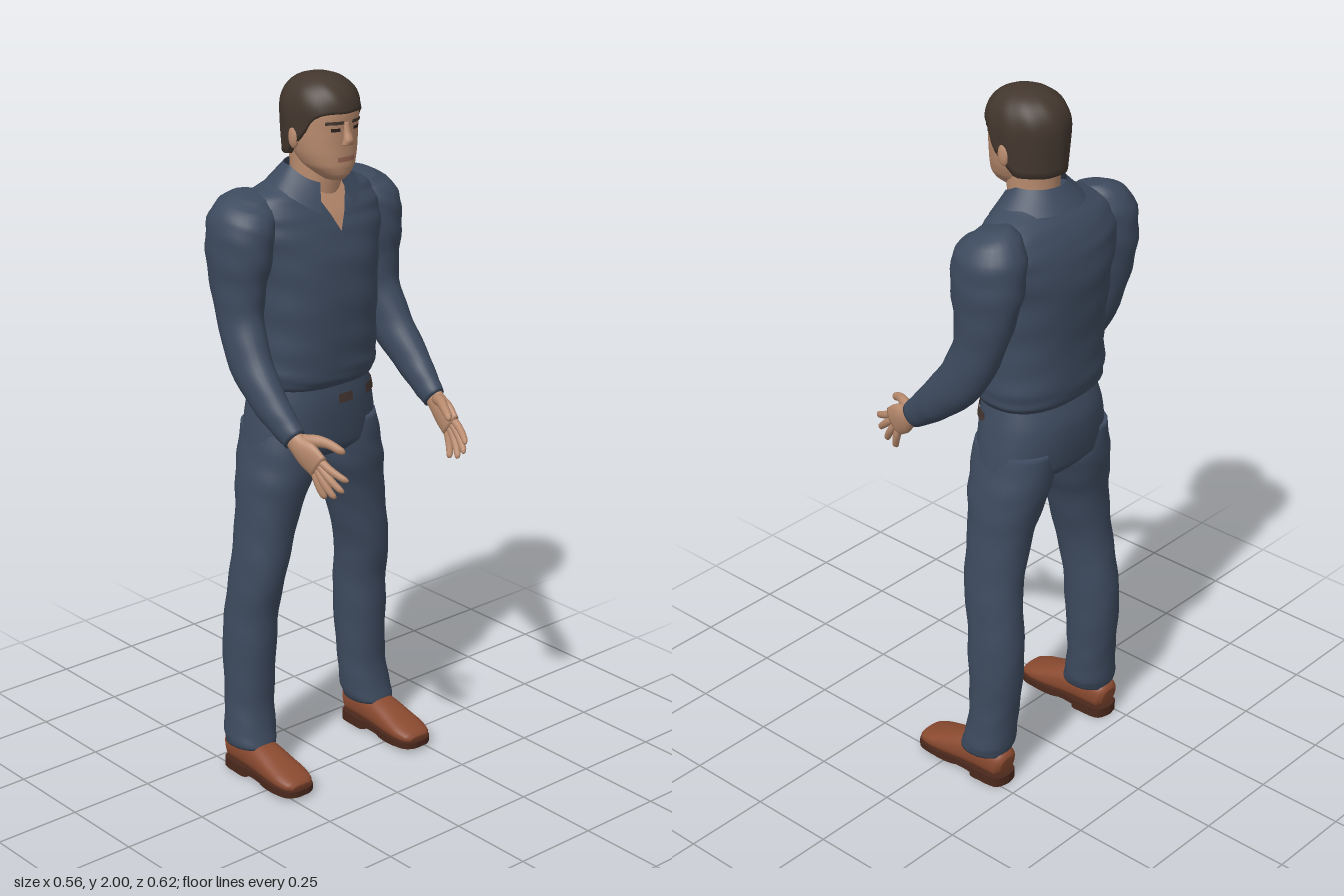
import * as THREE from 'three';
import { mergeVertices } from 'three/addons/utils/BufferGeometryUtils.js';

const mat = (name, color, side = THREE.FrontSide) => {
  const m = new THREE.MeshStandardMaterial({ color, side });
  m.name = name;
  return m;
};

// Smooth surface from a rule fn(u, v) -> [x, y, z], u and v in 0..1
function grid(nu, nv, fn) {
  const pos = [], idx = [];
  for (let j = 0; j <= nv; j++)
    for (let i = 0; i <= nu; i++) pos.push(...fn(i / nu, j / nv));
  for (let j = 0; j < nv; j++)
    for (let i = 0; i < nu; i++) {
      const a = j * (nu + 1) + i, c = a + nu + 1;
      idx.push(a, a + 1, c, a + 1, c + 1, c);
    }
  let g = new THREE.BufferGeometry();
  g.setAttribute('position', new THREE.Float32BufferAttribute(pos, 3));
  g.setIndex(idx);
  g = mergeVertices(g, 1e-5);
  g.computeVertexNormals();
  return g;
}

const spow = (v, e) => Math.sign(v) * Math.pow(Math.abs(v), e);

// Closed loft through rows [x, y, z, a, b]; a lies in the xy plane, b along z
function sweep(rows, { s = 1, n = 2, flat = false, sides = 28, sub = 5, fold = 0 } = {}) {
  const mid = new THREE.CatmullRomCurve3(rows.map(r => new THREE.Vector3(r[0], r[1], r[2] * s)));
  const rad = new THREE.CatmullRomCurve3(rows.map(r => new THREE.Vector3(r[3], r[4], 0)));
  const steps = (rows.length - 1) * sub;
  return grid(sides, steps + 2, (u, v) => {
    const k = Math.round(v * (steps + 2)) - 1;
    const cap = k < 0 || k > steps;
    const t = Math.min(1, Math.max(0, k / steps));
    const c = mid.getPoint(t), r = rad.getPoint(t), th = u * Math.PI * 2;
    const T = flat ? new THREE.Vector3(0, -1, 0) : mid.getTangent(t).setZ(0).normalize();
    const wave = 1 + fold * Math.sin(t * 55 + 2.5 * Math.sin(th)) * Math.cos(th * 2 + 1);
    const a = cap ? 0 : r.x * wave * spow(Math.cos(th), 2 / n);
    const b = cap ? 0 : r.y * wave * spow(Math.sin(th), 2 / n);
    return [c.x - T.y * a, c.y + T.x * a, c.z + b];
  });
}

// Upright rows [y, back, front, half width, centre z] -> sweep rows, listed top down
const column = rows => rows.map(([y, xb, xf, w, z = 0]) => [(xb + xf) / 2, y, z, (xf - xb) / 2, w]);

// Thin plate lying on the front of an upright loft
function plate(rows, n, y0, y1, zA, zB, off) {
  const front = (y, z) => {
    let i = 0;
    while (i < rows.length - 2 && rows[i + 1][1] > y) i++;
    const p = rows[i], q = rows[i + 1], t = (p[1] - y) / (p[1] - q[1]);
    const [x, , , a, b] = p.map((v, k) => v + (q[k] - v) * t);
    return x + off + a * Math.pow(1 - Math.pow(Math.min(0.98, Math.abs(z) / b), n), 1 / n);
  };
  return grid(10, 8, (u, v) => {
    const y = y1 + (y0 - y1) * v, z = zA(y) + (zB(y) - zA(y)) * u;
    return [front(y, z), y, z];
  });
}

export function createModel() {
  const model = new THREE.Group();
  const navy = mat('navy cloth', 0x3d4a5e);
  const collarCloth = mat('collar cloth', 0x3d4a5e, THREE.DoubleSide);
  const skin = mat('skin', 0xb98b6e, THREE.DoubleSide);
  const hairMat = mat('dark brown hair', 0x43372e, THREE.DoubleSide);
  const leather = mat('tan leather', 0x8a4a30);
  const soleMat = mat('dark sole', 0x4a281c);
  const beltMat = mat('belt brown', 0x44352f, THREE.DoubleSide);
  const lipMat = mat('lips', 0x9a6655, THREE.DoubleSide);
  const eyeMat = mat('eyes', 0x2c231f, THREE.DoubleSide);
  const add = (name, geo, m) => {
    const mesh = new THREE.Mesh(geo, m);
    mesh.name = name;
    model.add(mesh);
    return mesh;
  };

  // Shirt body, bloused over the waist
  const torso = column([
    [1.725, -0.185, -0.065, 0.09], [1.7, -0.205, -0.05, 0.145], [1.675, -0.232, -0.035, 0.195],
    [1.63, -0.258, -0.012, 0.225], [1.58, -0.272, 0.005, 0.225], [1.5, -0.279, 0.024, 0.2],
    [1.4, -0.271, 0.031, 0.19], [1.3, -0.263, 0.028, 0.186], [1.22, -0.263, 0.022, 0.191],
    [1.175, -0.257, 0.018, 0.188], [1.15, -0.238, 0.004, 0.172]]);
  add('shirt', sweep(torso, { n: 2.4, flat: true, sides: 44, fold: 0.012 }), navy);
  const vee = y => 0.066 * (y - 1.585) / 0.13;
  add('openNeck', plate(torso, 2.4, 1.585, 1.71, y => vee(y), y => -vee(y), 0.007), skin);

  // Fold-down collar, open at the front
  add('collar', grid(40, 5, (u, v) => {
    const th = 0.45 + u * (Math.PI * 2 - 0.9), f = Math.max(0, Math.cos(th));
    const y = THREE.MathUtils.lerp(1.755 - 0.045 * f, 1.7 - 0.075 * f * f, v);
    return [-0.105 - 0.005 * v + (0.078 + 0.04 * v) * Math.cos(th), y, (0.08 + 0.055 * v) * Math.sin(th)];
  }), collarCloth);

  // Trouser seat and belt
  const hips = column([
    [1.175, -0.235, 0.0, 0.165], [1.1, -0.259, 0.008, 0.185], [1.03, -0.259, 0.004, 0.2],
    [0.97, -0.25, -0.003, 0.208], [0.94, -0.225, -0.03, 0.17]]);
  add('trouserSeat', sweep(hips, { n: 2.3, flat: true, sides: 40 }), navy);
  for (const [a, b] of [[0.01, -0.04], [-0.1, -0.178]])
    add('belt', plate(hips, 2.3, 1.1, 1.126, () => a, () => b, 0.006), beltMat);

  // Head and neck
  const head = column([
    [1.985, -0.11, -0.04, 0.04], [1.95, -0.165, 0.022, 0.08], [1.9, -0.18, 0.033, 0.09],
    [1.85, -0.175, 0.03, 0.089], [1.8, -0.15, 0.029, 0.081], [1.765, -0.125, 0.029, 0.067],
    [1.74, -0.1, 0.024, 0.044], [1.725, -0.07, 0.01, 0.024]]);
  add('head', sweep(head, { n: 2.2, flat: true, sides: 36 }), skin);
  add('neck', sweep(column([
    [1.81, -0.17, -0.03, 0.07], [1.74, -0.166, -0.025, 0.068], [1.68, -0.17, -0.03, 0.07],
    [1.62, -0.175, -0.04, 0.075]]), { flat: true }), skin);
  add('nose', sweep([
    [0.026, 1.885, 0, 0.008, 0.009], [0.032, 1.86, 0, 0.01, 0.01], [0.037, 1.838, 0, 0.014, 0.014],
    [0.034, 1.825, 0, 0.012, 0.017]], { flat: true, sides: 16 }), skin);
  add('lips', plate(head, 2.2, 1.779, 1.792, () => 0.028, () => -0.028, 0.003), lipMat);

  // Hair cap with a low nape, sideburns and a short fringe
  add('hair', grid(48, 18, (u, v) => {
    const th = u * Math.PI * 2, c = Math.cos(th), sn = Math.sin(th);
    const edge = c > 0.35 ? 1.91 - 0.06 * Math.pow((1 - c) / 0.65, 3) : 1.785 + 0.065 * Math.max(0, (c + 0.3) / 0.65);
    const w = Math.min(1, v * 19 / 18);
    const y = 2 - (2 - edge) * Math.pow(w, 1.5);
    const k = y > 1.9 ? Math.pow(Math.max(0, 1 - Math.pow((y - 1.9) / 0.1, 2.3)), 1 / 2.3) : 1 - 0.06 * (1.9 - y) / 0.11;
    const r = k * (v === 1 ? 0.86 : 1) * (1 + 0.012 * Math.sin(th * 9 + v * 7));
    return [-0.076 + 0.119 * r * c, y, 0.1 * r * sn];
  }), hairMat);

  for (const s of [1, -1]) {
    const side = s > 0 ? 'left' : 'right';
    // Brows, eyes and ears
    add(side + 'Brow', plate(head, 2.2, 1.881, 1.89, () => s * 0.014, () => s * 0.06, 0.005), hairMat);
    add(side + 'Eye', plate(head, 2.2, 1.862, 1.871, () => s * 0.022, () => s * 0.047, 0.003), eyeMat);
    const ear = add(side + 'Ear', new THREE.SphereGeometry(1, 14, 10), skin);
    ear.scale.set(0.018, 0.031, 0.01);
    ear.position.set(-0.075, 1.84, s * 0.093);

    // Sleeve from shoulder to cuff
    add(side + 'Sleeve', sweep([
      [-0.13, 1.69, 0.19, 0.045, 0.035], [-0.135, 1.668, 0.205, 0.08, 0.067], [-0.14, 1.62, 0.218, 0.105, 0.085],
      [-0.14, 1.55, 0.226, 0.107, 0.083], [-0.137, 1.46, 0.235, 0.092, 0.068], [-0.12, 1.36, 0.242, 0.073, 0.057],
      [-0.07, 1.255, 0.252, 0.068, 0.053], [0.015, 1.165, 0.257, 0.055, 0.044], [0.075, 1.112, 0.253, 0.044, 0.035],
      [0.112, 1.082, 0.25, 0.037, 0.028]], { s, fold: 0.02 }), navy);

    // Hand with the palm turned inward
    add(side + 'Palm', sweep([
      [0.085, 1.104, 0.252, 0.028, 0.022], [0.125, 1.073, 0.249, 0.032, 0.022], [0.16, 1.05, 0.244, 0.043, 0.019],
      [0.195, 1.025, 0.237, 0.041, 0.014]], { s, sides: 20 }), skin);
    const fingers = [
      ['Index', 0.195, 1.05, 0.28, 1.005, 0.212], ['Middle', 0.198, 1.032, 0.268, 0.972, 0.218],
      ['Ring', 0.192, 1.015, 0.24, 0.948, 0.222], ['Little', 0.178, 1.006, 0.204, 0.938, 0.225]];
    for (const [name, x0, y0, x1, y1, z1] of fingers) {
      const at = (t, r) => [x0 + (x1 - x0) * t, y0 + (y1 - y0) * t, 0.238 + (z1 - 0.238) * t * t, r, r];
      add(side + name + 'Finger', sweep(
        [at(-0.2, 0.01), at(0.2, 0.011), at(0.55, 0.0105), at(0.9, 0.009), at(1, 0.004)],
        { s, sides: 12, sub: 3 }), skin);
    }
    add(side + 'Thumb', sweep([
      [0.125, 1.085, 0.243, 0.016, 0.015], [0.165, 1.09, 0.226, 0.017, 0.016], [0.2, 1.085, 0.207, 0.013, 0.013],
      [0.23, 1.072, 0.194, 0.011, 0.011], [0.239, 1.067, 0.19, 0.005, 0.005]], { s, sides: 12, sub: 3 }), skin);

    // Trouser leg
    add(side + 'TrouserLeg', sweep(column([
      [1.03, -0.245, -0.01, 0.085, 0.11], [0.95, -0.246, -0.007, 0.1, 0.116], [0.88, -0.235, -0.012, 0.1, 0.131],
      [0.8, -0.218, -0.027, 0.086, 0.152], [0.7, -0.21, -0.034, 0.077, 0.173], [0.6, -0.212, -0.04, 0.07, 0.192],
      [0.5, -0.223, -0.06, 0.069, 0.2], [0.4, -0.229, -0.066, 0.07, 0.205], [0.28, -0.22, -0.074, 0.068, 0.208],
      [0.2, -0.211, -0.075, 0.069, 0.212], [0.13, -0.207, -0.062, 0.072, 0.218], [0.095, -0.2, -0.052, 0.066, 0.222]]),
    { s, n: 2.15, flat: true, fold: 0.015 }), navy);

    // Shoe upper, sole and heel
    add(side + 'ShoeUpper', sweep([
      [-0.205, 0.06, 0.222, 0.028, 0.028], [-0.19, 0.064, 0.222, 0.044, 0.042], [-0.12, 0.068, 0.222, 0.048, 0.047],
      [-0.06, 0.063, 0.222, 0.044, 0.05], [0, 0.052, 0.222, 0.035, 0.054], [0.05, 0.044, 0.222, 0.026, 0.055],
      [0.085, 0.038, 0.222, 0.018, 0.046], [0.098, 0.034, 0.222, 0.01, 0.032]], { s, n: 2.4 }), leather);
    const outline = pts => new THREE.Shape(new THREE.SplineCurve(
      [...pts, ...pts.slice(1, -1).reverse().map(([x, z]) => [x, -z]), pts[0]]
        .map(([x, z]) => new THREE.Vector2(x, z))).getPoints(60));
    const slab = (name, pts, top, depth) => {
      const g = new THREE.ExtrudeGeometry(outline(pts), { depth, bevelEnabled: false });
      g.rotateX(Math.PI / 2).translate(0, top, s * 0.222);
      add(side + name, g, soleMat);
    };
    slab('Sole', [[-0.211, 0], [-0.195, 0.04], [-0.13, 0.048], [-0.06, 0.046], [0.02, 0.057], [0.08, 0.052], [0.103, 0.028], [0.106, 0]], 0.029, 0.018);
    slab('Heel', [[-0.211, 0], [-0.195, 0.04], [-0.14, 0.048], [-0.1, 0.044], [-0.098, 0]], 0.02, 0.02);
    slab('Tread', [[-0.05, 0], [-0.04, 0.04], [0.02, 0.05], [0.055, 0.04], [0.065, 0]], 0.015, 0.012);
  }
  return model;
}
